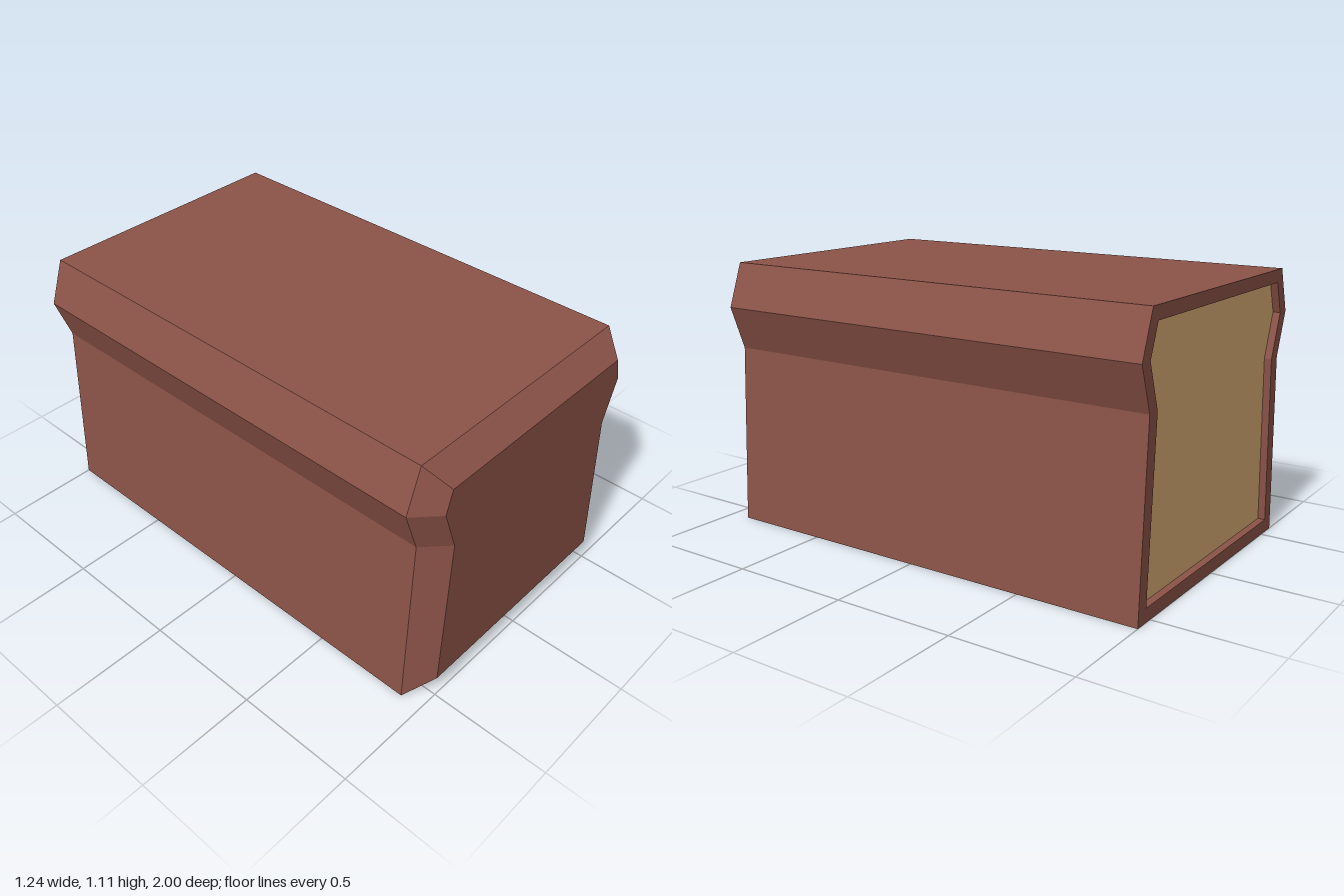
import * as THREE from 'three';

// Right half of each cross-section, bottom to top
const OUTER = [[0.59, 0], [0.555, 0.75], [0.62, 0.93], [0.555, 1.11]];
const FRONT = [[0.495, 0.09], [0.46, 0.75], [0.525, 0.93], [0.495, 1.025]];
const INNER = [[0.532, 0.055], [0.498, 0.75], [0.562, 0.93], [0.515, 1.057]];

// Mirror a half section into a full loop, counter-clockwise seen from +z
const loop = (half) => [...half, ...half.slice().reverse().map(([x, y]) => [-x, y])];

// Join cross-sections [half, z] with flat quads
function loft(sections) {
  const pos = [];
  const rings = sections.map(([half, z]) => loop(half).map(([x, y]) => [x, y, z]));
  for (let r = 0; r < rings.length - 1; r++) {
    const a = rings[r], b = rings[r + 1], n = a.length;
    for (let i = 0; i < n; i++) {
      const j = (i + 1) % n;
      pos.push(...a[i], ...a[j], ...b[j], ...a[i], ...b[j], ...b[i]);
    }
  }
  const geo = new THREE.BufferGeometry();
  geo.setAttribute('position', new THREE.Float32BufferAttribute(pos, 3));
  geo.computeVertexNormals();
  return geo;
}

const face = (half) =>
  new THREE.ShapeGeometry(new THREE.Shape(loop(half).map(([x, y]) => new THREE.Vector2(x, y))));

export function createModel() {
  const group = new THREE.Group();
  group.name = 'breadLoaf';

  const crust = new THREE.MeshStandardMaterial({ color: 0x8c5348, flatShading: true });
  crust.name = 'crustBrown';
  const crumb = new THREE.MeshStandardMaterial({ color: 0xdaac76, flatShading: true });
  crumb.name = 'crumbTan';

  const add = (name, geo, mat) => {
    const mesh = new THREE.Mesh(geo, mat);
    mesh.name = name;
    group.add(mesh);
    return mesh;
  };

  // Crust: recess wall, cut rim, long sides, front bevel
  add('crust', loft([[INNER, -0.97], [INNER, -1], [OUTER, -1], [OUTER, 0.91], [FRONT, 1]]), crust);

  // Closed front end
  add('frontCrust', face(FRONT), crust).position.z = 1;

  // Sliced end, slightly recessed and facing back
  const slice = add('crumb', face(INNER), crumb);
  slice.rotation.y = Math.PI;
  slice.position.z = -0.97;

  return group;
}
